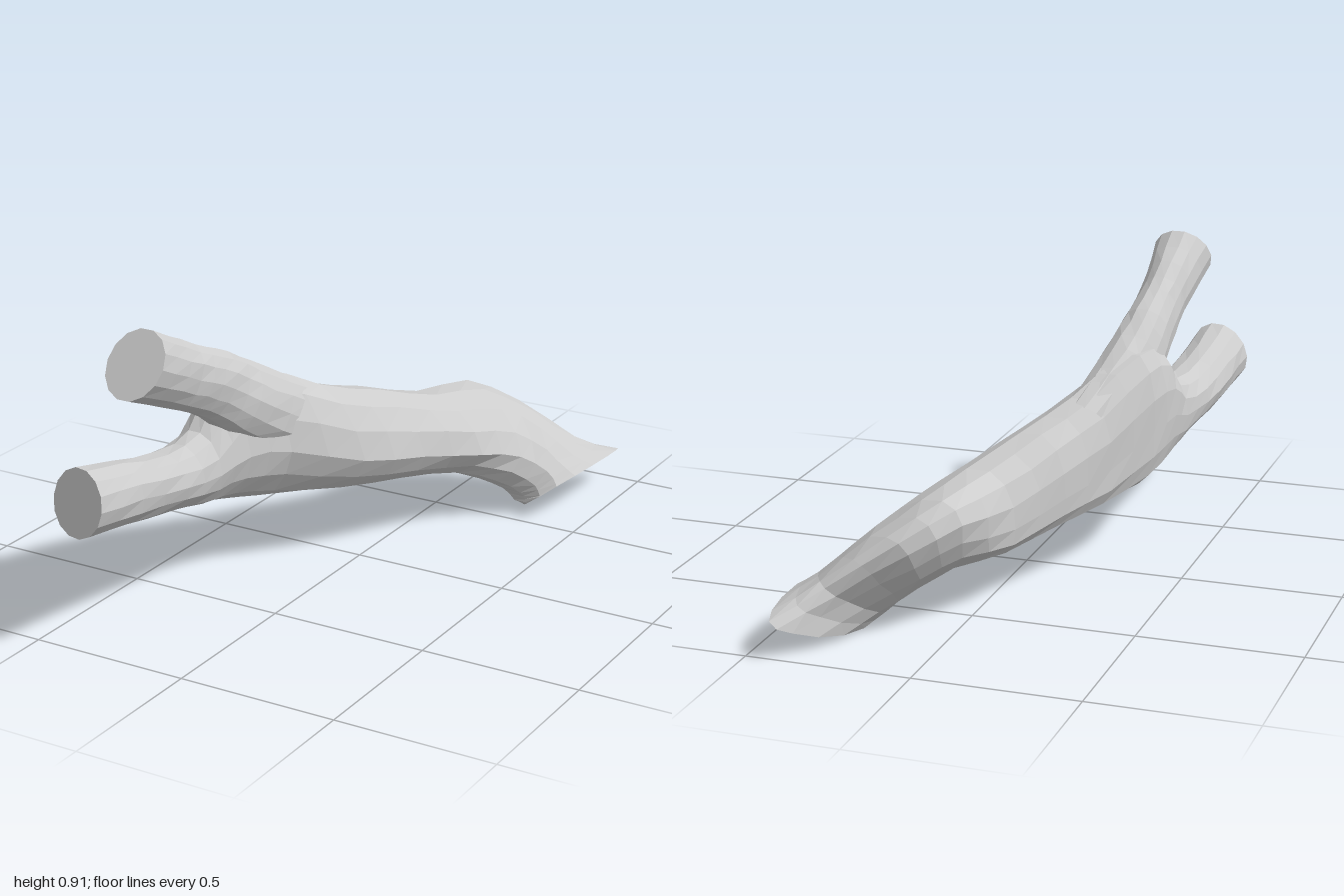
import * as THREE from 'three';

const SIDES = 14;
const V = (p) => new THREE.Vector3(...p);

// Ring through four points: model left (+x), top, right (-x), bottom
function ring(a, b, c, d) {
  const q = [a, b, c, d].map(V);
  const mid = q.reduce((s, p) => s.add(p), new THREE.Vector3()).multiplyScalar(0.25);
  return Array.from({ length: SIDES }, (_, j) => {
    const t = (j / SIDES) * Math.PI * 2, co = Math.cos(t), si = Math.sin(t);
    return mid.clone()
      .addScaledVector(q[co > 0 ? 0 : 2].clone().sub(mid), Math.abs(co))
      .addScaledVector(q[si > 0 ? 1 : 3].clone().sub(mid), Math.abs(si));
  });
}

// Leaning ring: x range, then height and depth of its bottom and top
function slant(x0, x1, yb, zb, yt, zt) {
  const xm = (x0 + x1) / 2, ym = (yb + yt) / 2, zm = (zb + zt) / 2;
  return ring([x1, ym, zm], [xm, yt, zt], [x0, ym, zm], [xm, yb, zb]);
}

// Upright ring, sagging by s towards its lower -x corner
function upright(z, x0, x1, y0, y1, s = 0) {
  const xm = (x0 + x1) / 2 - s, ym = (y0 + y1) / 2 - s;
  return ring([x1, ym, z], [xm, y1, z], [x0, ym, z], [xm, y0, z]);
}

// Faceted skin over a row of rings, with slight bark unevenness
function skin(rings, perSpan) {
  let seed = 7;
  const rnd = () => (seed = (seed * 16807) % 2147483647) / 2147483647 - 0.5;
  const rows = (rings.length - 1) * perSpan;
  const columns = rings[0].map((_, j) => new THREE.CatmullRomCurve3(rings.map((r) => r[j])));
  const pos = [], idx = [];
  for (let i = 0; i <= rows; i++) {
    for (let j = 0; j < SIDES; j++) {
      const p = columns[j].getPoint(i / rows);
      const k = i === 0 || i === rows ? 0 : 0.005;
      pos.push(p.x + rnd() * k, p.y + rnd() * k, p.z + rnd() * k);
      if (i === rows) continue;
      const a = i * SIDES + j, b = i * SIDES + ((j + 1) % SIDES);
      idx.push(a, b, a + SIDES, b, b + SIDES, a + SIDES);
    }
  }
  return build(pos, idx);
}

// Flat sawn face closing a ring
function cap(points, flip) {
  const pos = points.flatMap((p) => p.toArray()), idx = [];
  for (let j = 1; j < SIDES - 1; j++) idx.push(0, flip ? j + 1 : j, flip ? j : j + 1);
  return build(pos, idx);
}

function build(pos, idx) {
  const g = new THREE.BufferGeometry();
  g.setAttribute('position', new THREE.Float32BufferAttribute(pos, 3));
  g.setIndex(idx);
  const flat = g.toNonIndexed();
  flat.computeVertexNormals();
  return flat;
}

export function createModel() {
  const group = new THREE.Group();
  group.name = 'forkedLog';
  const wood = new THREE.MeshStandardMaterial({ color: 0xcccccc, flatShading: true });
  wood.name = 'paleGrey';
  const add = (name, geometry) => {
    const mesh = new THREE.Mesh(geometry, wood);
    mesh.name = name;
    group.add(mesh);
  };

  // Trunk from the slanted base cut forward into the lower branch
  const trunk = [
    ring([0.4, 0.11, -0.58], [0.445, 0.125, -0.9], [0.37, 0.07, -0.96], [0.26, 0.0, -0.65]),
    ring([0.395, 0.115, -0.585], [0.345, 0.185, -0.82], [0.27, 0.12, -0.8], [0.225, 0.03, -0.61]),
    ring([0.36, 0.15, -0.59], [0.19, 0.31, -0.74], [0.09, 0.22, -0.735], [0.18, 0.08, -0.57]),
    ring([0.295, 0.21, -0.53], [0.07, 0.395, -0.62], [-0.02, 0.27, -0.63], [0.12, 0.125, -0.5]),
    upright(-0.4, -0.1, 0.22, 0.16, 0.43, 0.05),
    upright(-0.2, -0.19, 0.12, 0.185, 0.49, 0.05),
    upright(0, -0.27, 0.02, 0.2, 0.555, 0.055),
    upright(0.2, -0.35, -0.12, 0.225, 0.65, 0.045),
    upright(0.34, -0.38, -0.18, 0.255, 0.63, 0.03),
    upright(0.45, -0.39, -0.21, 0.275, 0.51, 0.01),
    upright(0.6, -0.42, -0.23, 0.3, 0.485),
    upright(0.8, -0.44, -0.25, 0.325, 0.52),
    ring([-0.255, 0.45, 1.0], [-0.35, 0.555, 0.96], [-0.455, 0.45, 0.955], [-0.36, 0.35, 0.995]),
  ];
  add('trunkAndLowerBranch', skin(trunk, 2));
  add('baseCut', cap(trunk[0], true));
  add('lowerBranchCut', cap(trunk[trunk.length - 1], false));

  // Upper branch, rising out of the trunk
  const upper = [
    slant(-0.26, -0.1, 0.33, 0.12, 0.53, -0.04),
    slant(-0.33, -0.14, 0.45, 0.33, 0.655, 0.2),
    slant(-0.34, -0.18, 0.56, 0.47, 0.745, 0.36),
    slant(-0.34, -0.195, 0.635, 0.62, 0.815, 0.52),
    slant(-0.365, -0.175, 0.738, 0.86, 0.917, 0.73),
  ];
  add('upperBranch', skin(upper, 3));
  add('upperBranchCut', cap(upper[upper.length - 1], false));

  return group;
}
